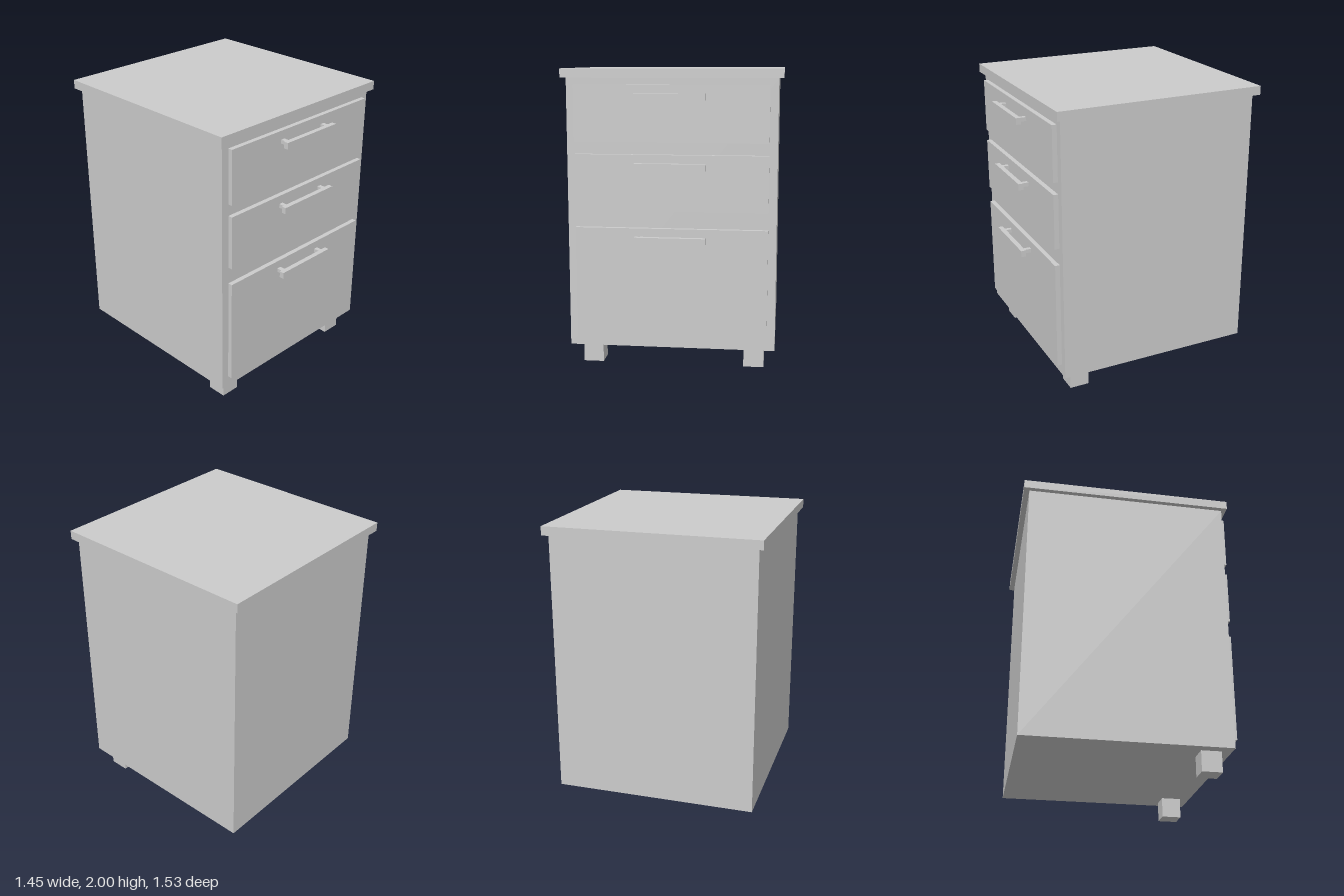
import * as THREE from 'three';

const material = new THREE.MeshStandardMaterial({ color: 0xcccccc, flatShading: true });

// Box given by its [min, max] extent on each axis
function box(name, [x0, x1], [y0, y1], [z0, z1]) {
  const mesh = new THREE.Mesh(new THREE.BoxGeometry(x1 - x0, y1 - y0, z1 - z0), material);
  mesh.position.set((x0 + x1) / 2, (y0 + y1) / 2, (z0 + z1) / 2);
  mesh.name = name;
  return mesh;
}

// Drawer front with a bar handle on two posts
function drawer(name, bottom, top, handleY) {
  const group = new THREE.Group();
  group.name = name;
  group.add(box('drawerFront', [-0.637, 0.637], [bottom, top], [0.652, 0.684]));
  group.add(box('handleBar', [-0.233, 0.233], [handleY - 0.022, handleY + 0.022], [0.732, 0.765]));
  for (const side of [-1, 1]) {
    const x = side * 0.19;
    group.add(box(side > 0 ? 'leftHandlePost' : 'rightHandlePost',
      [x - 0.015, x + 0.015], [handleY - 0.013, handleY + 0.013], [0.684, 0.732]));
  }
  return group;
}

export function createModel() {
  const cabinet = new THREE.Group();
  cabinet.name = 'drawerCabinet';

  // Carcass and overhanging top
  cabinet.add(box('body', [-0.691, 0.691], [0.14, 1.94], [-0.727, 0.652]));
  cabinet.add(box('topPanel', [-0.724, 0.724], [1.94, 2], [-0.765, 0.685]));

  // Two shallow drawers above a deep one
  cabinet.add(drawer('topDrawer', 1.525, 1.896, 1.823));
  cabinet.add(drawer('middleDrawer', 1.075, 1.445, 1.374));
  cabinet.add(drawer('bottomDrawer', 0.217, 0.958, 0.89));

  // Square feet under the front edge only
  for (const side of [-1, 1]) {
    const x = side * 0.549;
    cabinet.add(box(side > 0 ? 'leftFoot' : 'rightFoot',
      [x - 0.068, x + 0.068], [0, 0.14], [0.446, 0.583]));
  }
  return cabinet;
}
